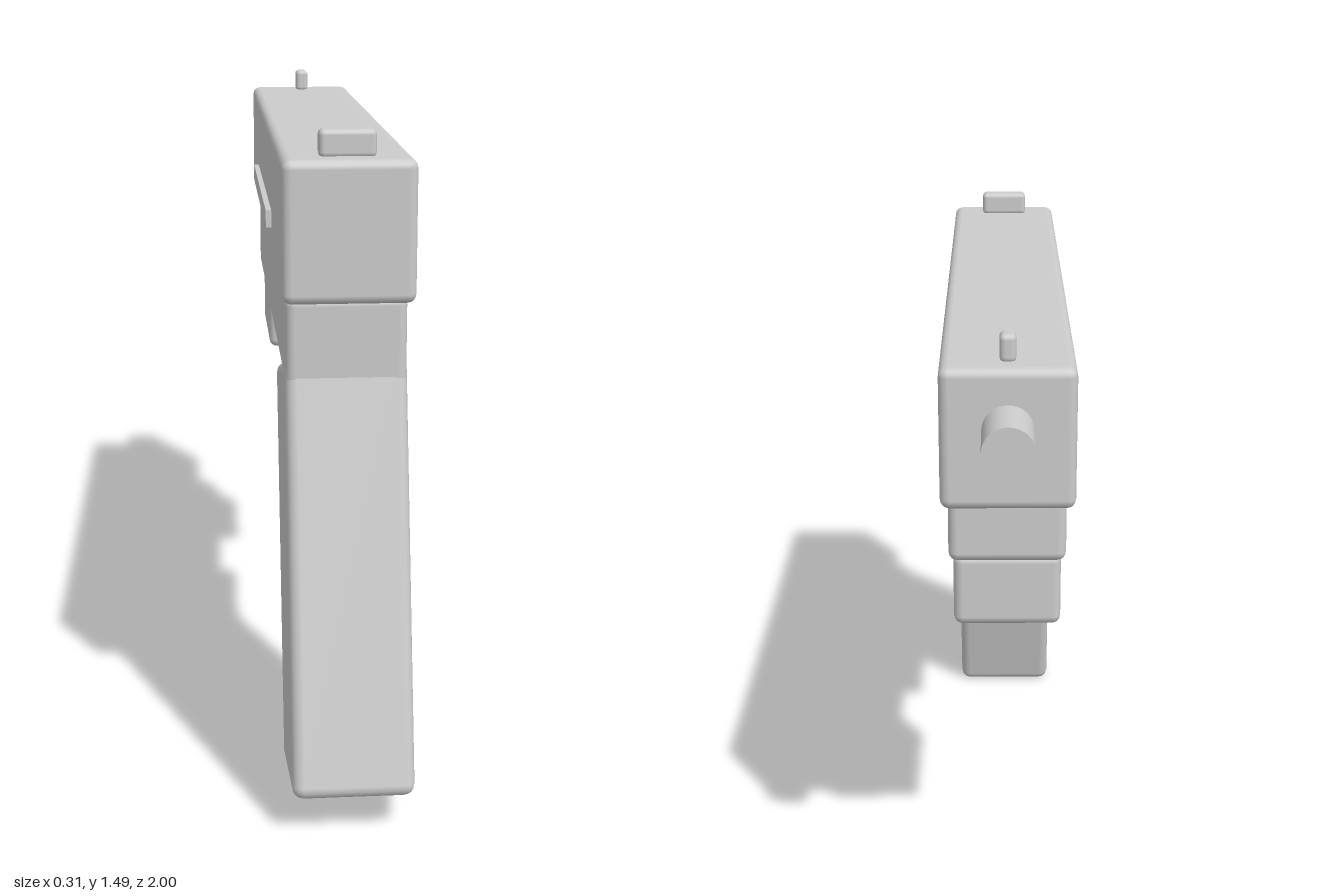
import * as THREE from 'three';
import { RoundedBoxGeometry } from 'three/addons/geometries/RoundedBoxGeometry.js';

export function createModel() {
  const model = new THREE.Group();
  model.name = 'toyBlaster';
  const grey = new THREE.MeshStandardMaterial({ color: 0xcccccc });
  grey.name = 'plain grey';

  function add(name, geometry, x, y, z) {
    const mesh = new THREE.Mesh(geometry, grey);
    mesh.name = name;
    mesh.position.set(x, y, z);
    model.add(mesh);
    return mesh;
  }

  // Softly bevelled block, centred on x, given by its y and z ranges
  function block(name, width, y0, y1, z0, z1, bevel) {
    const geometry = new RoundedBoxGeometry(width, y1 - y0, z1 - z0, 2, bevel);
    return add(name, geometry, 0, (y0 + y1) / 2, (z0 + z1) / 2);
  }

  // Main body
  block('slide', 0.28, 1.14, 1.44, -0.86, 0.84, 0.02);
  block('frame', 0.26, 0.94, 1.142, -0.66, 0.77, 0.02);
  block('underBlock', 0.24, 0.775, 0.945, -0.635, -0.28, 0.02);

  // Leaning grip
  const grip = add('grip', new RoundedBoxGeometry(0.264, 0.94, 0.4, 2, 0.025), 0, 0.501, 0.688);
  grip.rotation.x = -Math.PI / 12;

  // Trigger and its guard plate
  block('triggerGuard', 0.18, 0.745, 0.795, -0.003, 0.5, 0.015);
  block('trigger', 0.045, 0.78, 0.96, 0.225, 0.295, 0.008);

  // Barrel end
  const barrel = add('barrel', new THREE.CylinderGeometry(0.054, 0.054, 0.2, 32), 0, 1.312, -0.9);
  barrel.rotation.x = Math.PI / 2;

  // Sights on top of the slide
  block('rearSight', 0.12, 1.435, 1.495, 0.73, 0.78, 0.012);
  block('frontSight', 0.034, 1.435, 1.495, -0.805, -0.755, 0.012);

  // Thin raised rail on each side
  for (const side of [-1, 1]) {
    add(side > 0 ? 'leftRail' : 'rightRail',
      new THREE.BoxGeometry(0.03, 0.04, 0.8), side * 0.138, 1.24, -0.055);
  }

  return model;
}
